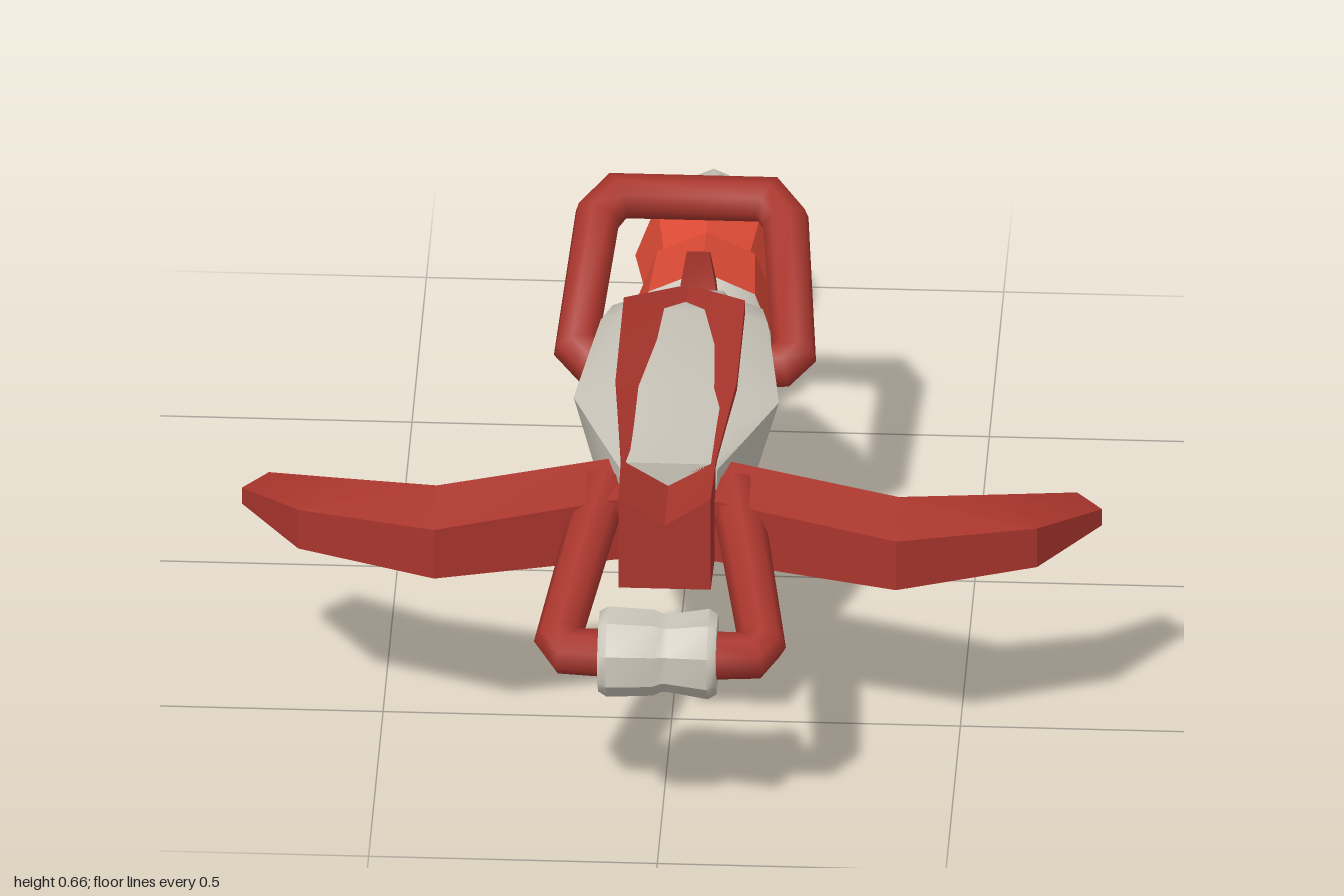
import * as THREE from 'three';
import { toCreasedNormals } from 'three/addons/utils/BufferGeometryUtils.js';

const mat = (name, color) => {
  const m = new THREE.MeshStandardMaterial({ color });
  m.name = name;
  return m;
};

// Closed skin through matching cross-sections, capped at both ends
function loft(sections, crease = 0.6) {
  const n = sections[0].length, pos = [];
  const tri = (a, b, c) => pos.push(...a, ...b, ...c);
  for (let i = 0; i < sections.length - 1; i++) {
    for (let j = 0; j < n; j++) {
      const k = (j + 1) % n, s = sections[i], t = sections[i + 1];
      tri(s[j], t[j], t[k]);
      tri(s[j], t[k], s[k]);
    }
  }
  const cap = (s, flip) => {
    const c = [0, 1, 2].map(a => s.reduce((sum, p) => sum + p[a], 0) / n);
    for (let j = 0; j < n; j++) {
      const k = (j + 1) % n;
      flip ? tri(c, s[k], s[j]) : tri(c, s[j], s[k]);
    }
  };
  cap(sections[0], false);
  cap(sections[sections.length - 1], true);
  // Turn the skin outward if its enclosed volume is negative
  let volume = 0;
  const v = i => new THREE.Vector3(pos[i], pos[i + 1], pos[i + 2]);
  for (let i = 0; i < pos.length; i += 9) volume += v(i).dot(v(i + 3).cross(v(i + 6)));
  if (volume < 0) {
    for (let i = 0; i < pos.length; i += 9) {
      for (let a = 3; a < 6; a++) [pos[i + a], pos[i + a + 3]] = [pos[i + a + 3], pos[i + a]];
    }
  }
  const g = new THREE.BufferGeometry();
  g.setAttribute('position', new THREE.Float32BufferAttribute(pos, 3));
  g.computeVertexNormals();
  return toCreasedNormals(g, crease);
}

// Curve that places one tube ring on every corner of a path
class BentPath extends THREE.Curve {
  constructor(points) {
    super();
    this.points = points.map(p => new THREE.Vector3(...p));
  }
  getPoint(t) {
    const f = t * (this.points.length - 1);
    const i = Math.min(Math.floor(f), this.points.length - 2);
    return this.points[i].clone().lerp(this.points[i + 1], f - i);
  }
  getPointAt(t) { return this.getPoint(t); }
  getTangentAt(t) {
    const p = this.points, i = Math.round(t * (p.length - 1));
    const d = new THREE.Vector3();
    if (i > 0) d.add(p[i].clone().sub(p[i - 1]).normalize());
    if (i < p.length - 1) d.add(p[i + 1].clone().sub(p[i]).normalize());
    return d.normalize();
  }
}

// Bent bar mirrored across x = 0
function bentBar(half, radius) {
  const path = [...half, ...half.slice().reverse().map(([x, y, z]) => [-x, y, z])];
  return new THREE.TubeGeometry(new BentPath(path), path.length - 1, radius, 8, false);
}

function turned(profile, start = 0, sweep = Math.PI * 2, crease = 0.7) {
  const pts = profile.map(p => new THREE.Vector2(...p));
  const g = new THREE.LatheGeometry(pts, Math.round(sweep / (Math.PI / 4)), start, sweep);
  return toCreasedNormals(g, crease);
}

export function createModel() {
  const model = new THREE.Group();
  model.name = 'crossbow';
  const grey = mat('pale grey', 0xcbc6ba);
  const darkRed = mat('dark red', 0xa8352c);
  const brightRed = mat('bright red', 0xdc4a35);
  const add = (name, geometry, material, parent = model) => {
    const m = new THREE.Mesh(geometry, material);
    m.name = name;
    parent.add(m);
    return m;
  };

  // Stock: zTop, zBottom, top y/half width, shoulder y/half width, lower y/half width, keel y
  const stock = [
    [0.62, 0.62, 0.585, 0.075, 0.575, 0.085, 0.45, 0.08, 0.39],
    [0.49, 0.49, 0.58, 0.09, 0.565, 0.13, 0.41, 0.11, 0.31],
    [0.34, 0.34, 0.575, 0.1, 0.55, 0.178, 0.38, 0.13, 0.275],
    [0.06, 0.08, 0.57, 0.095, 0.545, 0.145, 0.38, 0.12, 0.275],
    [-0.05, -0.05, 0.535, 0.07, 0.51, 0.13, 0.34, 0.11, 0.225],
    [-0.13, -0.12, 0.49, 0.06, 0.45, 0.12, 0.28, 0.1, 0.185],
    [-0.265, -0.21, 0.42, 0.05, 0.37, 0.1, 0.2, 0.09, 0.12],
    [-0.335, -0.31, 0.295, 0.05, 0.22, 0.09, 0.1, 0.07, 0.04],
    [-0.42, -0.41, 0.255, 0.05, 0.16, 0.085, 0.075, 0.06, 0.042],
    [-0.53, -0.53, 0.255, 0.05, 0.153, 0.09, 0.075, 0.065, 0.045],
  ].map(([zt, zb, ty, tw, sy, sw, ly, lw, by]) => {
    const p = (x, y) => [x, y, zb + (zt - zb) * (y - by) / (ty - by)];
    return [p(tw, ty), p(sw, sy), p(lw, ly), p(0, by), p(-lw, ly), p(-sw, sy), p(-tw, ty)];
  });
  add('stock', loft(stock, 0.55), grey);

  // Grooved rail with a deep nose block and a pointed tail
  const railSection = (z, w, top, bottom, groove) => [
    [-w, bottom, z], [-w, top, z], [0, top - groove, z], [w, top, z], [w, bottom, z],
  ];
  add('rail', loft([
    railSection(0.62, 0.082, 0.59, 0.52, 0.05),
    railSection(0.34, 0.105, 0.59, 0.52, 0.04),
    railSection(0.06, 0.105, 0.59, 0.52, 0.03),
    railSection(-0.065, 0.004, 0.545, 0.5, 0.002),
  ], 0.3), darkRed);
  add('railNose', loft([
    railSection(0.75, 0.08, 0.59, 0.41, 0.055),
    railSection(0.62, 0.082, 0.59, 0.41, 0.05),
  ], 0.3), darkRed);

  // Bow limbs: back x/z, front x/z, back top, front top
  for (const side of [1, -1]) {
    const limb = [
      [0.05, 0.54, 0.05, 0.64, 0.557, 0.53],
      [0.4, 0.638, 0.4, 0.732, 0.54, 0.505],
      [0.575, 0.572, 0.64, 0.64, 0.512, 0.485],
      [0.7, 0.455, 0.745, 0.49, 0.452, 0.44],
    ].map(([bx, bz, fx, fz, bt, ft]) => [
      [side * bx, 0.408, bz], [side * bx, bt, bz], [side * fx, ft, fz], [side * fx, 0.408, fz],
    ]);
    add(side > 0 ? 'leftLimb' : 'rightLimb', loft(limb, 0.3), darkRed);
  }

  // Front stirrup and rear cocking handle
  add('stirrup', bentBar([
    [0.11, 0.515, 0.58], [0.135, 0.475, 0.69], [0.176, 0.392, 0.9], [0.16, 0.382, 0.925], [0.07, 0.38, 0.925],
  ], 0.043), darkRed);
  add('cockingHandle', bentBar([
    [0.1, 0.46, 0.055], [0.165, 0.46, 0.055], [0.188, 0.475, 0.035], [0.163, 0.605, -0.19], [0.13, 0.625, -0.23],
  ], 0.042), darkRed);

  // Two-lobed roller on the stirrup
  const roller = add('roller', turned([
    [0.03, -0.105], [0.07, -0.105], [0.079, -0.09], [0.075, -0.01], [0.068, 0.005],
    [0.068, 0.015], [0.079, 0.085], [0.07, 0.1], [0.03, 0.1],
  ]).rotateY(Math.PI / 8).rotateZ(-Math.PI / 2), grey);
  roller.position.set(0, 0.38, 0.92);

  // Grip collars: pale rims, red upper halves, pale lower halves
  const grip = new THREE.Group();
  grip.name = 'grip';
  grip.position.y = 0.153;
  grip.scale.x = 0.88;
  model.add(grip);
  const gripPart = (name, material, profile, start, sweep, crease) =>
    add(name, turned(profile, start, sweep, crease).rotateX(-Math.PI / 2), material, grip);
  gripPart('frontRim', grey, [[0.08, 0.505], [0.12, 0.51], [0.148, 0.535]]);
  gripPart('middleGroove', grey, [[0.136, 0.69], [0.12, 0.7], [0.12, 0.71]]);
  gripPart('rearRim', grey, [[0.148, 0.84], [0.125, 0.865], [0.07, 0.867]]);
  const bands = { frontBand: [[0.148, 0.535], [0.136, 0.69]], rearBand: [[0.12, 0.71], [0.148, 0.84]] };
  for (const [name, profile] of Object.entries(bands)) {
    gripPart(name + 'Upper', brightRed, profile, -Math.PI / 2, Math.PI);
    gripPart(name + 'Lower', grey, profile, Math.PI / 2, Math.PI);
  }

  // Rounded pommel whose tip leans slightly upward
  const pommel = new THREE.LatheGeometry([
    [0.104, 0.855], [0.104, 0.91], [0.085, 0.955], [0.05, 0.982], [0.0001, 1],
  ].map(p => new THREE.Vector2(...p)), 8).rotateX(-Math.PI / 2);
  const pp = pommel.attributes.position;
  for (let i = 0; i < pp.count; i++) {
    pp.setY(i, pp.getY(i) + 0.04 * Math.max(0, (-pp.getZ(i) - 0.88) / 0.12));
  }
  pommel.computeVertexNormals();
  add('pommel', toCreasedNormals(pommel, 0.9), grey, grip);

  // Hooked trigger on top of the wrist, narrowing to its tip
  add('trigger', loft([
    [-0.34, -0.43, 0.25, 0.25, 0.038], [-0.385, -0.432, 0.3, 0.29, 0.036],
    [-0.405, -0.44, 0.35, 0.34, 0.03], [-0.408, -0.432, 0.41, 0.4, 0.02],
  ].map(([zf, zb, yf, yb, w]) => [[w, yf, zf], [w, yb, zb], [-w, yb, zb], [-w, yf, zf]]), 0.5), darkRed);

  return model;
}
